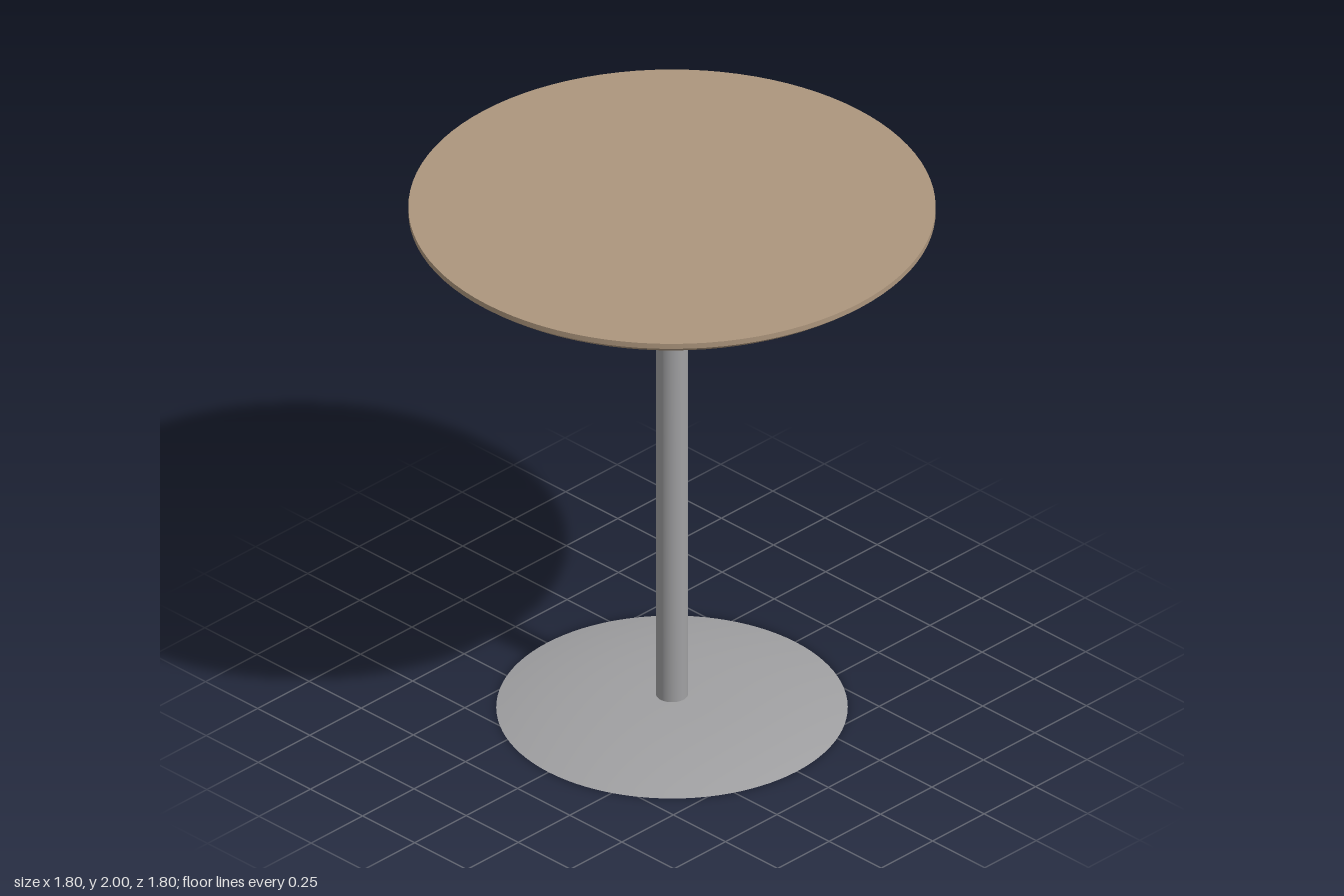
import * as THREE from 'three';
import { toCreasedNormals } from 'three/addons/utils/BufferGeometryUtils.js';

const wood = new THREE.MeshStandardMaterial({ color: 0xad967d });
wood.name = 'wood';
const metal = new THREE.MeshStandardMaterial({ color: 0xa0a0a2 });
metal.name = 'metal';

// Turned part from a bottom-to-top profile of [radius, height] points
function turned(name, points, material, segments = 96) {
  const profile = points.map(([r, y]) => new THREE.Vector2(r, y));
  const geometry = toCreasedNormals(new THREE.LatheGeometry(profile, segments), 0.4);
  const mesh = new THREE.Mesh(geometry, material);
  mesh.name = name;
  return mesh;
}

export function createModel() {
  const table = new THREE.Group();
  table.name = 'pedestalTable';

  // Tabletop: flat underside, rounded flare, thin straight rim
  const top = [[0, 1.9]];
  const flare = new THREE.QuadraticBezierCurve(
    new THREE.Vector2(0.68, 1.9), new THREE.Vector2(0.81, 1.9), new THREE.Vector2(0.9, 1.98));
  for (const p of flare.getPoints(12)) top.push([p.x, p.y]);
  top.push([0.9, 2], [0, 2]);
  table.add(turned('tabletop', top, wood));

  // Column
  table.add(turned('column', [[0.055, 0.03], [0.055, 1.905]], metal, 48));

  // Base: flat bottom with a shallow dome
  const base = [[0, 0]];
  const steps = 16;
  for (let i = 0; i <= steps; i++) {
    const t = 1 - i / steps;
    base.push([0.6 * t, 0.053 * (1 - t ** 2.4)]);
  }
  const foot = turned('base', base, metal);
  // Keep the thin rim crisp between the dome and the flat underside
  foot.geometry = toCreasedNormals(foot.geometry, 0.4);
  table.add(foot);

  return table;
}
